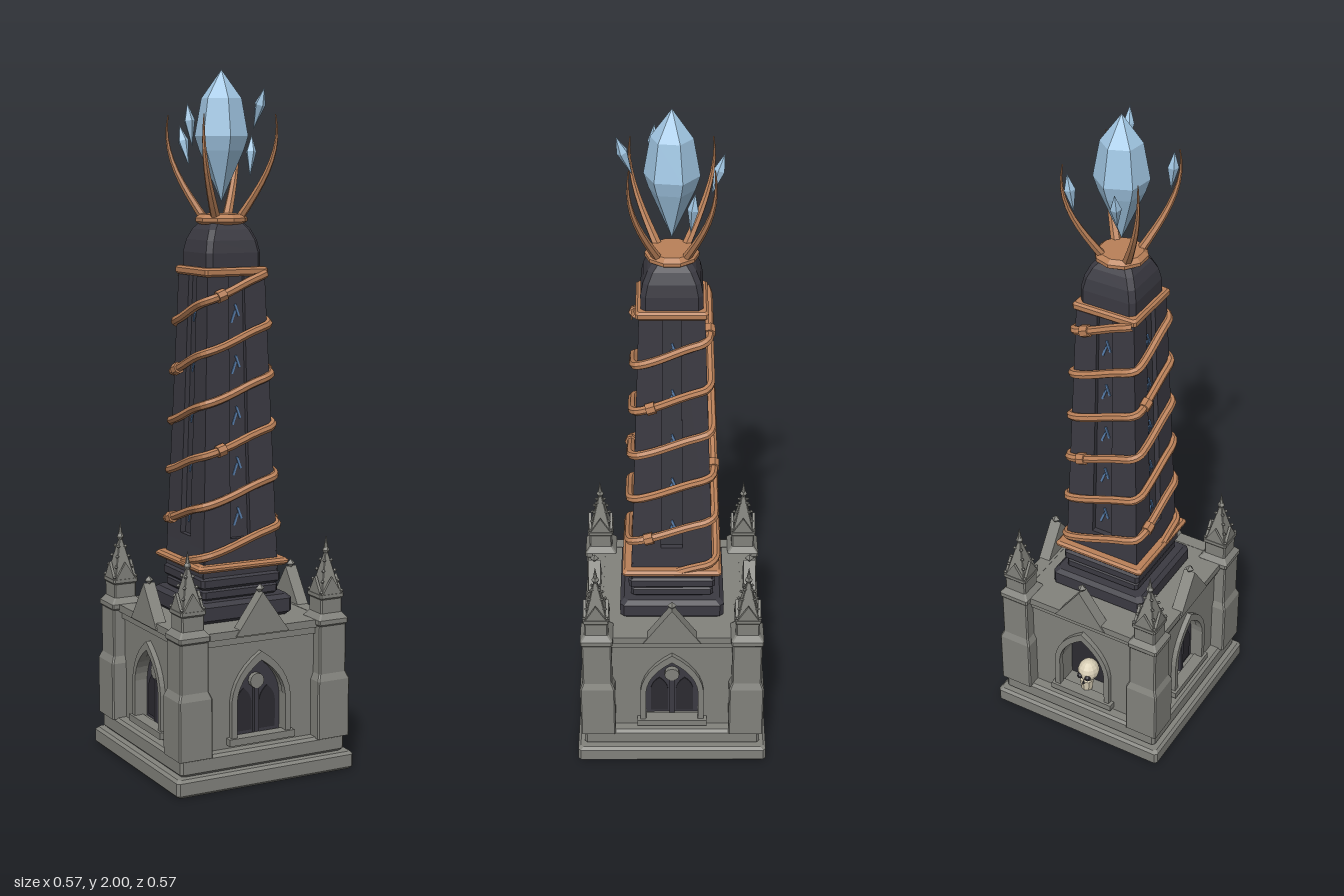
import * as THREE from 'three';

const mat = (color) => new THREE.MeshStandardMaterial({ color, flatShading: true });
const STONE = mat(0x82827c), SLATE = mat(0x3b3a42), DARK = mat(0x2c2b31), COPPER = mat(0xb98058);
const CRYSTAL = mat(0xa3c9e6), RUNE = mat(0x587fae), BONE = mat(0xd9cfb6);

function add(parent, name, geometry, material, x = 0, y = 0, z = 0) {
  const mesh = new THREE.Mesh(geometry, material);
  mesh.name = name;
  mesh.position.set(x, y, z);
  parent.add(mesh);
  return mesh;
}

function group(parent, name, angle = 0) {
  const g = new THREE.Group();
  g.name = name;
  g.rotation.y = angle;
  parent.add(g);
  return g;
}

// Stack of chamfered squares; profile is [half width, height] from bottom to top
function squareLoft(profile, chamfer) {
  const geo = new THREE.LatheGeometry(profile.map(([r, y]) => new THREE.Vector2(r, y)), 8);
  geo.rotateY(Math.PI / 8);
  const p = geo.attributes.position;
  for (let i = 0; i < p.count; i++) {
    const x = p.getX(i), z = p.getZ(i), r = Math.hypot(x, z), s = Math.max(0, r - chamfer);
    const wide = Math.abs(x) > Math.abs(z);
    p.setXYZ(i, Math.sign(x) * (wide ? r : s), p.getY(i), Math.sign(z) * (wide ? s : r));
  }
  return geo;
}

// Square slab with softened top and bottom edges
const slab = (half, y0, y1, b = 0.008) =>
  squareLoft([[0, y0], [half - b, y0], [half, y0 + b], [half, y1 - b], [half - b, y1], [0, y1]], b);

// Pointed arch outline
function arch(Type, w, y0, spring, top) {
  const s = new Type();
  s.moveTo(-w, y0);
  s.lineTo(w, y0);
  s.lineTo(w, spring);
  s.quadraticCurveTo(w * 0.92, spring + (top - spring) * 0.6, 0, top);
  s.quadraticCurveTo(-w * 0.92, spring + (top - spring) * 0.6, -w, spring);
  s.lineTo(-w, y0);
  return s;
}

function polygon(points) {
  return new THREE.Shape(points.map(([x, y]) => new THREE.Vector2(x, y)));
}

const extrude = (shape, depth) =>
  new THREE.ExtrudeGeometry(shape, { depth, bevelEnabled: false, curveSegments: 6 });

function buildSide(parent, angle, hasSkull) {
  const side = group(parent, 'chapelSide', angle);
  // Wall pierced by a pointed niche
  const wall = polygon([[-0.21, 0.1], [0.21, 0.1], [0.21, 0.44], [-0.21, 0.44]]);
  wall.holes.push(arch(THREE.Path, 0.08, 0.13, 0.24, 0.355));
  add(side, 'wall', extrude(wall, 0.065), STONE, 0, 0, 0.165);
  const frame = arch(THREE.Shape, 0.095, 0.13, 0.24, 0.378);
  frame.holes.push(arch(THREE.Path, 0.078, 0.13, 0.24, 0.352));
  add(side, 'archFrame', extrude(frame, 0.02), STONE, 0, 0, 0.225);
  add(side, 'sill', new THREE.BoxGeometry(0.21, 0.02, 0.035), STONE, 0, 0.125, 0.235);
  add(side, 'cornice', new THREE.BoxGeometry(0.36, 0.022, 0.04), STONE, 0, 0.437, 0.228);
  add(side, 'corniceStep', new THREE.BoxGeometry(0.36, 0.02, 0.025), STONE, 0, 0.416, 0.227);
  // Gable and its finial
  add(side, 'gable', extrude(polygon([[-0.085, 0.43], [0.085, 0.43], [0, 0.55]]), 0.036), STONE, 0, 0, 0.216);
  add(side, 'gableFinial', new THREE.OctahedronGeometry(0.014), STONE, 0, 0.557, 0.234);
  if (hasSkull) {
    const skull = group(side, 'skull');
    skull.position.set(0, 0.19, 0.203);
    add(skull, 'cranium', new THREE.SphereGeometry(0.035, 12, 9), BONE, 0, 0.01, 0).scale.set(0.95, 1.05, 1);
    add(skull, 'jaw', new THREE.CylinderGeometry(0.023, 0.017, 0.04, 8), BONE, 0, -0.038, 0.01);
    for (const s of [-1, 1]) add(skull, 'eyeSocket', new THREE.SphereGeometry(0.01, 8, 6), DARK, s * 0.013, 0.003, 0.029);
    add(skull, 'noseHole', new THREE.ConeGeometry(0.006, 0.013, 3), DARK, 0, -0.016, 0.032);
  } else {
    // Two dark lancets with a mullion and boss
    add(side, 'nichePanel', extrude(arch(THREE.Shape, 0.079, 0.13, 0.24, 0.354), 0.01), SLATE, 0, 0, 0.195);
    for (const s of [-1, 1])
      add(side, 'lancet', extrude(arch(THREE.Shape, 0.026, 0.14, 0.22, 0.265), 0.004), DARK, s * 0.038, 0, 0.204);
    add(side, 'mullion', new THREE.BoxGeometry(0.014, 0.15, 0.014), SLATE, 0, 0.205, 0.21);
    add(side, 'boss', new THREE.CylinderGeometry(0.022, 0.022, 0.016, 12).rotateX(Math.PI / 2), STONE, 0, 0.285, 0.212);
  }
}

function buildPinnacle(parent, x, z) {
  const pier = group(parent, 'cornerPier');
  pier.position.set(x, 0, z);
  add(pier, 'buttress', squareLoft([[0, 0.1], [0.052, 0.1], [0.052, 0.27], [0.044, 0.29], [0.044, 0.43],
    [0.048, 0.435], [0.048, 0.448], [0.035, 0.465], [0.035, 0.505], [0.039, 0.51], [0.039, 0.52], [0, 0.52]], 0.004), STONE);
  add(pier, 'spire', squareLoft([[0.033, 0.515], [0.005, 0.635], [0, 0.64]], 0.002), STONE);
  add(pier, 'finialBall', new THREE.OctahedronGeometry(0.011, 1), STONE, 0, 0.642, 0);
  add(pier, 'finialTip', new THREE.ConeGeometry(0.007, 0.04, 6), STONE, 0, 0.667, 0);
  for (let k = 0; k < 4; k++) {
    const face = group(pier, 'spireFace', k * Math.PI / 2);
    add(face, 'gablet', extrude(polygon([[-0.034, 0.515], [0.034, 0.515], [0, 0.57]]), 0.008), STONE, 0, 0, 0.029);
    for (let i = 0; i < 4; i++) {
      const d = 0.034 - i * 0.0075;
      add(face, 'crocket', new THREE.OctahedronGeometry(0.0065), STONE, d, 0.527 + i * 0.029, d);
    }
  }
}

function buildShaft(parent) {
  // Tapering shaft with a groove down each face
  const notch = [[-1, 1], [-0.27, 1], [-0.27, 0.86], [0.27, 0.86], [0.27, 1]];
  const outline = [];
  for (let k = 0; k < 4; k++) {
    const c = [1, 0, -1, 0][k], s = [0, -1, 0, 1][k];
    notch.forEach(([x, y]) => outline.push([x * c - y * s, x * s + y * c]));
  }
  const geo = extrude(polygon(outline.reverse()), 0.86).rotateX(-Math.PI / 2);
  const p = geo.attributes.position;
  for (let i = 0; i < p.count; i++) {
    const h = 0.121 - 0.03 * p.getY(i) / 0.86;
    p.setXYZ(i, p.getX(i) * h, p.getY(i) + 0.57, p.getZ(i) * h);
  }
  add(parent, 'shaft', geo, SLATE);
  add(parent, 'shaftFoot', squareLoft([[0, 0.56], [0.122, 0.56], [0.117, 0.68], [0, 0.68]], 0.004), SLATE);
  // Blue shards set in the grooves
  for (let k = 0; k < 4; k++) {
    const face = group(parent, 'grooveShards', k * Math.PI / 2);
    for (let i = 0; i < 5; i++) {
      const y = 0.74 + i * 0.145, z = (0.121 - 0.03 * (y - 0.57) / 0.86) * 0.86;
      for (const s of [-1, 1]) {
        const shard = add(face, 'shard', new THREE.BoxGeometry(0.006, 0.036, 0.006), RUNE, s * 0.006, y + s * 0.009, z);
        shard.rotation.z = s * 0.35;
      }
    }
  }
}

function buildVine(parent, phase) {
  // Square spiral hugging the shaft
  const at = (y) => {
    const a = (y - 0.67) / 0.29 * Math.PI * 2 + phase;
    const s = Math.sin(a), c = Math.cos(a);
    const r = (0.132 - 0.031 * (y - 0.6) / 0.83) / Math.pow(Math.abs(s) ** 9 + Math.abs(c) ** 9, 1 / 9);
    return new THREE.Vector3(r * s, y, r * c);
  };
  const points = [];
  for (let i = 0; i <= 110; i++) points.push(at(0.6 + 0.83 * i / 110));
  add(parent, 'copperVine', new THREE.TubeGeometry(new THREE.CatmullRomCurve3(points), 220, 0.0125, 7), COPPER);
  // Clamps
  for (let y = 0.72; y < 1.4; y += 0.2175) {
    const a = at(y), dir = at(y + 0.004).sub(a).normalize();
    const clamp = add(parent, 'vineClamp', new THREE.CylinderGeometry(0.018, 0.018, 0.026, 7), COPPER, a.x, a.y, a.z);
    clamp.quaternion.setFromUnitVectors(new THREE.Vector3(0, 1, 0), dir);
  }
}

function gem(profile, sides) {
  return new THREE.LatheGeometry(profile.map(([r, y]) => new THREE.Vector2(r, y)), sides);
}

export function createModel() {
  const model = new THREE.Group();
  model.name = 'crystalObelisk';

  // Chapel base
  add(model, 'groundSlab', slab(0.285, 0, 0.052), STONE);
  add(model, 'upperSlab', slab(0.265, 0.052, 0.104), STONE);
  add(model, 'core', new THREE.BoxGeometry(0.34, 0.33, 0.34), DARK, 0, 0.265, 0);
  add(model, 'roof', slab(0.222, 0.425, 0.447, 0.004), STONE);
  for (let k = 0; k < 4; k++) buildSide(model, k * Math.PI / 2, k === 2);
  for (const x of [-0.222, 0.222]) for (const z of [-0.222, 0.222]) buildPinnacle(model, x, z);

  // Stepped plinth, shaft and copper bands
  add(model, 'plinth', slab(0.154, 0.445, 0.507, 0.012), SLATE);
  add(model, 'plinthStep', slab(0.122, 0.505, 0.54), SLATE);
  add(model, 'plinthTop', slab(0.128, 0.538, 0.575), SLATE);
  buildShaft(model);
  add(model, 'lowerBand', slab(0.146, 0.592, 0.612, 0.007), COPPER);
  buildVine(model, 0);
  buildVine(model, Math.PI);
  add(model, 'upperBand', slab(0.1, 1.425, 1.45, 0.006), COPPER);
  add(model, 'cap', squareLoft([[0, 1.44], [0.086, 1.44], [0.086, 1.49], [0.079, 1.525], [0.066, 1.555],
    [0.05, 1.575], [0, 1.575]], 0.014), SLATE);
  add(model, 'crownRing', gem([[0, 1.568], [0.062, 1.568], [0.075, 1.576], [0.075, 1.586], [0.062, 1.597], [0, 1.597]], 10), COPPER);

  // Four curved prongs on the diagonals
  for (let k = 0; k < 4; k++) {
    const geo = new THREE.CylinderGeometry(0.0015, 0.015, 0.29, 6, 9);
    const p = geo.attributes.position;
    for (let i = 0; i < p.count; i++) {
      const t = p.getY(i) / 0.29 + 0.5;
      p.setX(i, p.getX(i) + 0.053 + 0.11 * Math.sin(t * 1.85));
    }
    add(model, 'prong', geo, COPPER, 0, 1.73, 0).rotation.y = Math.PI / 4 + k * Math.PI / 2;
  }

  // Large crystal and its floating splinters
  add(model, 'mainCrystal', gem([[0, 1.63], [0.064, 1.775], [0.077, 1.815], [0.058, 1.92], [0, 2]], 6), CRYSTAL).rotation.y = -0.14;
  const splinters = [[-0.055, 1.79, -0.125, 0.3], [0.125, 1.76, -0.055, 0.1], [-0.125, 1.845, 0.05, -0.05], [0.052, 1.89, 0.125, 0.35]];
  for (const [x, y, z, tilt] of splinters) {
    const s = add(model, 'splinter', gem([[0, -0.06], [0.016, 0.012], [0, 0.06]], 5), CRYSTAL, x, y, z);
    s.rotation.set(Math.sign(z) * tilt, 0, -Math.sign(x) * 0.1);
  }
  return model;
}
